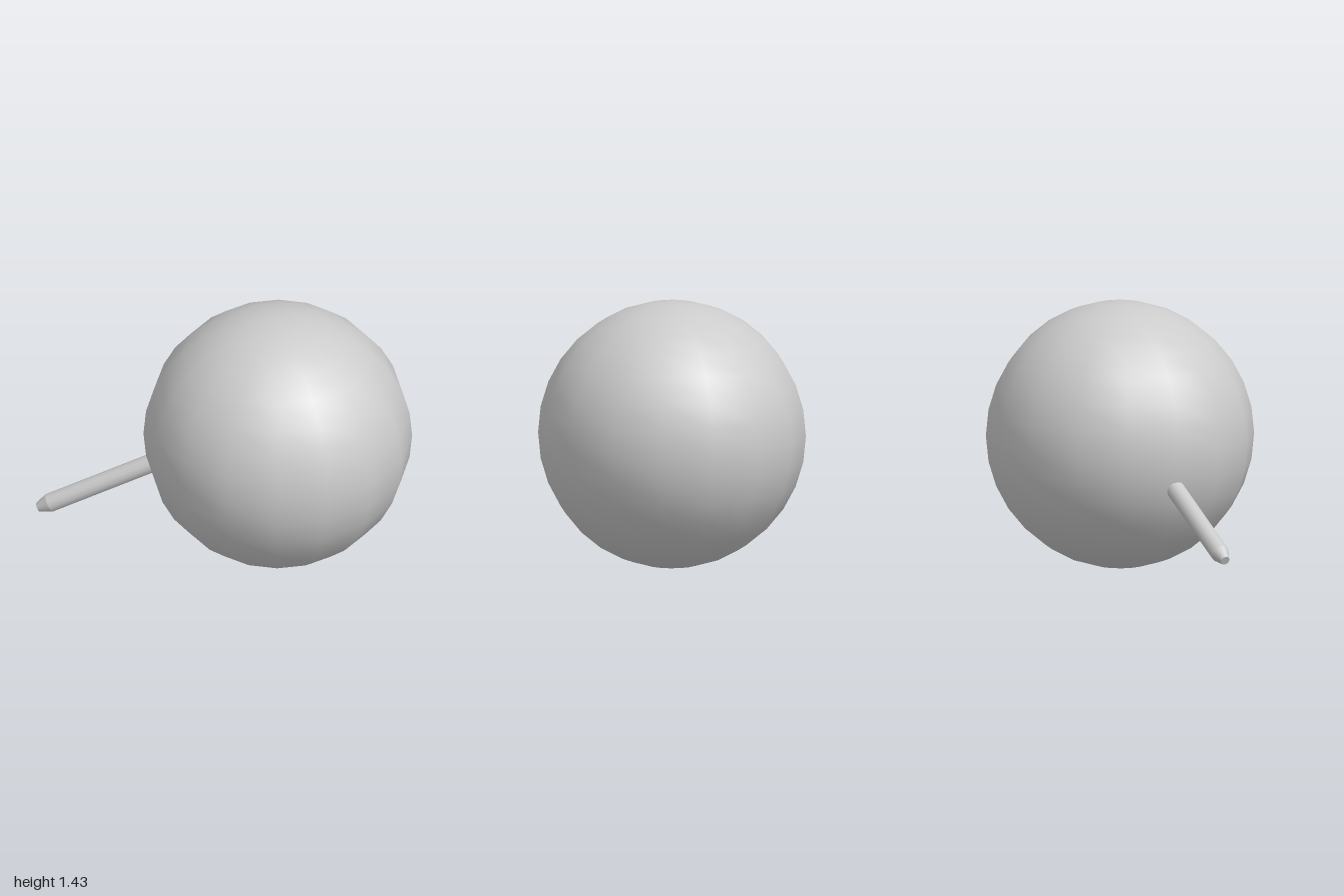
import * as THREE from 'three';

const material = new THREE.MeshStandardMaterial({ color: 0xcccccc, side: THREE.DoubleSide });
const RADIUS = 0.714;
const CENTER = new THREE.Vector3(0.286, 0.713, 0);

function addMesh(group, name, geometry) {
  const mesh = new THREE.Mesh(geometry, material);
  mesh.name = name;
  group.add(mesh);
  return mesh;
}

export function createModel() {
  const group = new THREE.Group();
  group.name = 'ballWithHandle';

  // Ball: two half shells meeting at the equator
  const half = Math.PI / 2;
  for (const [name, start] of [['upperShell', 0], ['lowerShell', half]]) {
    const shell = new THREE.SphereGeometry(RADIUS, 16, 8, 0, Math.PI * 2, start, half);
    addMesh(group, name, shell).position.copy(CENTER);
  }

  // Handle: round rod with a tapered, flat-ended tip
  const root = new THREE.Vector3(-0.34, 0.547, 0);
  const tip = new THREE.Vector3(-0.989, 0.241, 0);
  const length = root.distanceTo(tip);
  const handle = new THREE.Group();
  handle.name = 'handle';
  handle.position.copy(root);
  handle.quaternion.setFromUnitVectors(
    new THREE.Vector3(0, 1, 0), tip.clone().sub(root).normalize());
  group.add(handle);

  const taper = 0.066;
  const rodLength = length - taper;
  const rod = new THREE.CylinderGeometry(0.05, 0.05, rodLength, 12);
  addMesh(handle, 'handleRod', rod).position.y = rodLength / 2;
  const end = new THREE.CylinderGeometry(0.025, 0.05, taper, 12);
  addMesh(handle, 'handleTip', end).position.y = rodLength + taper / 2;

  return group;
}
